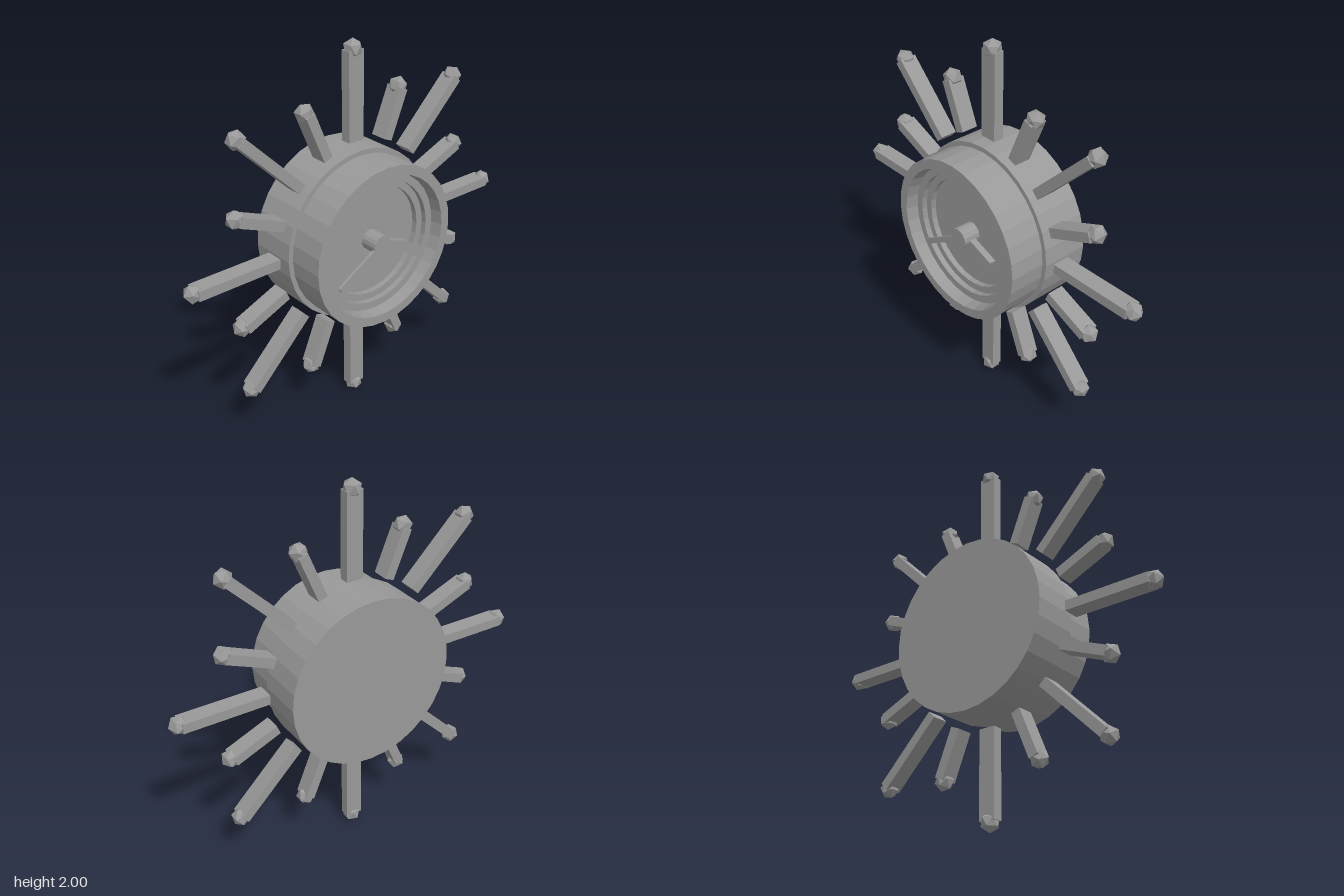
import * as THREE from 'three';

export function createModel() {
  const metal = new THREE.MeshStandardMaterial({ color: 0x999999 });
  metal.name = 'grey metal';
  metal.flatShading = true;

  const model = new THREE.Group();
  model.name = 'sunburstClock';
  const clock = new THREE.Group();
  clock.name = 'clock';
  clock.position.y = 1;
  model.add(clock);

  const add = (parent, name, geometry, x = 0, y = 0, z = 0) => {
    const mesh = new THREE.Mesh(geometry, metal);
    mesh.name = name;
    mesh.position.set(x, y, z);
    parent.add(mesh);
    return mesh;
  };

  // Turned case: back, drum, stepped bezel and recessed dial, as [radius, z]
  const profile = [
    [0, -0.225], [0.455, -0.225], [0.455, 0.03], [0.43, 0.03], [0.43, 0.225],
    [0.38, 0.225], [0.37, 0.16], [0.33, 0.16], [0.33, 0.13],
    [0.293, 0.13], [0.293, 0.1], [0, 0.1],
  ].map(([r, z]) => new THREE.Vector2(r, z));
  add(clock, 'case', new THREE.LatheGeometry(profile, 32).rotateX(Math.PI / 2));

  // Hub and hands
  add(clock, 'hub', new THREE.CylinderGeometry(0.053, 0.053, 0.1, 16).rotateX(Math.PI / 2), 0, 0, 0.145);
  const hand = (name, length, width, depth, angle, z) => {
    const geometry = new THREE.BoxGeometry(length, width, depth).translate(length / 2, 0, 0);
    add(clock, name, geometry, 0, 0, z).rotation.z = angle;
  };
  hand('minuteHand', 0.31, 0.03, 0.015, Math.PI + 0.54, 0.186);
  hand('hourHand', 0.21, 0.035, 0.035, -0.36, 0.145);

  // Icosahedron with one corner turned to point along +y
  const finial = new THREE.IcosahedronGeometry(0.05, 0)
    .rotateZ(-Math.atan2(1, (1 + Math.sqrt(5)) / 2))
    .rotateZ(0);
  const corner = new THREE.Vector3(-1, (1 + Math.sqrt(5)) / 2, 0)
    .normalize()
    .applyAxisAngle(new THREE.Vector3(0, 0, 1), -Math.atan2(1, (1 + Math.sqrt(5)) / 2));
  finial.applyQuaternion(new THREE.Quaternion().setFromUnitVectors(corner, new THREE.Vector3(0, 1, 0)));

  // Sixteen rays, long and short in turn; the upright pair lies flat
  for (let i = 0; i < 16; i++) {
    const ray = new THREE.Group();
    ray.name = 'ray' + (i + 1);
    ray.position.z = -0.03;
    ray.rotation.z = (i * Math.PI) / 8;
    clock.add(ray);
    const inner = 0.493;
    const outer = i % 2 ? 0.76 : 0.95;
    const length = outer - 0.005 - inner;
    const upright = i % 8 === 0;
    add(ray, 'rod', new THREE.BoxGeometry(upright ? 0.09 : 0.052, length, upright ? 0.055 : 0.092), 0, inner + length / 2, 0);
    add(ray, 'finial', finial, 0, outer, 0);
  }
  return model;
}
